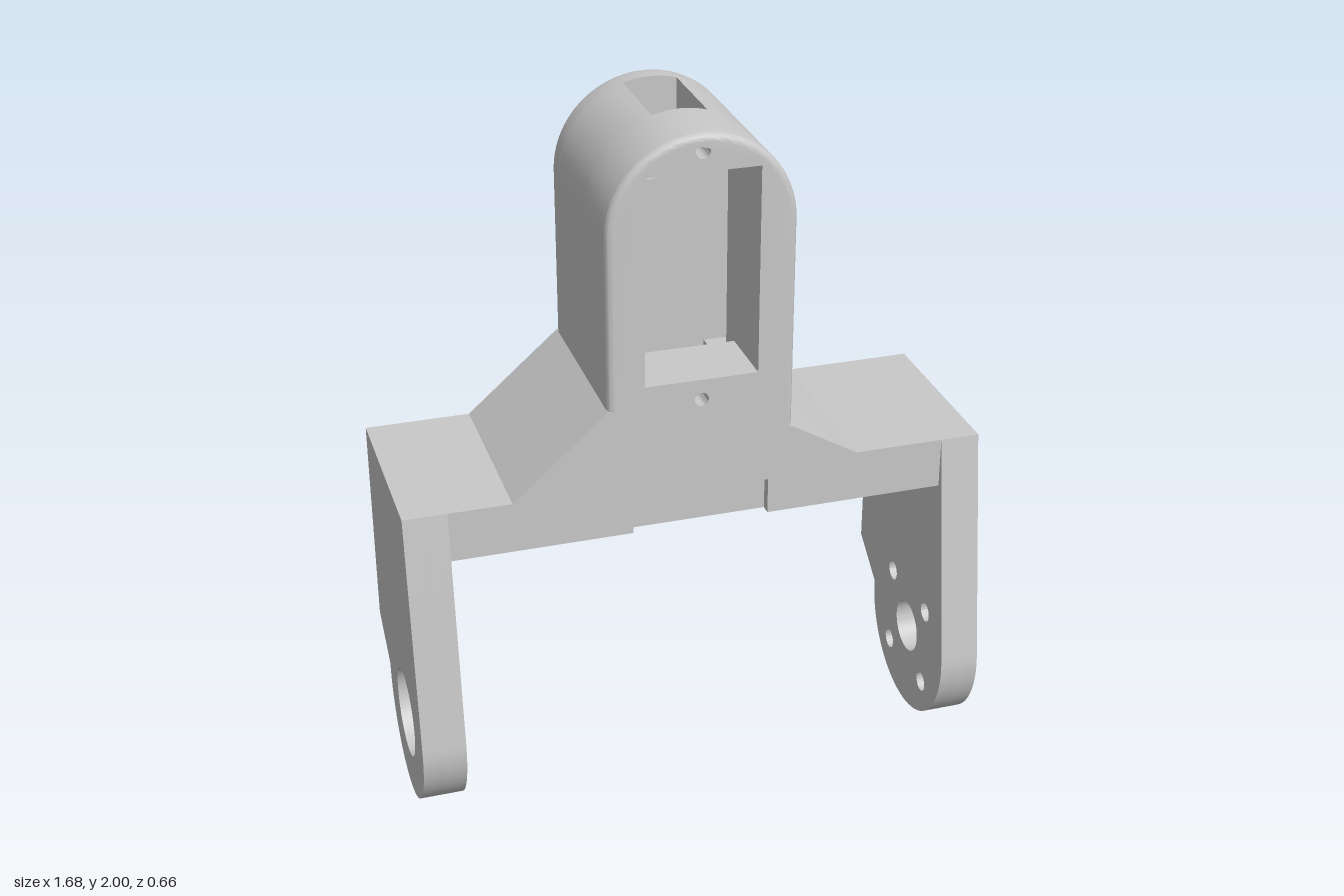
import * as THREE from 'three';
import { toCreasedNormals } from 'three/addons/utils/BufferGeometryUtils.js';

const R = 0.266, CY = 1.734, CX = 0.003;  // arch radius and centre
const FRONT = 0.228, BACK = -0.33;        // body depth limits
const SHAFT_F = 0.02, SHAFT_B = -0.258;   // cable shaft depth limits
const SHAFT_X = 0.161, SLOT_X = 0.077;

export function createModel() {
  const model = new THREE.Group();
  const grey = new THREE.MeshStandardMaterial({ color: 0xc8c8c8 });
  grey.name = 'light grey';

  const group = (name) => {
    const g = new THREE.Group();
    g.name = name;
    model.add(g);
    return g;
  };
  const add = (parent, name, geo) => {
    const mesh = new THREE.Mesh(toCreasedNormals(geo, 0.4), grey);
    mesh.name = name;
    parent.add(mesh);
  };
  const poly = (pts) => new THREE.Shape(pts.map(([x, y]) => new THREE.Vector2(x, y)));
  const circle = (x, y, r) => new THREE.Path().absarc(x, y, r, 0, Math.PI * 2, false);
  const slab = (shape, z0, z1) =>
    new THREE.ExtrudeGeometry(shape, { depth: z1 - z0, bevelEnabled: false, curveSegments: 28 }).translate(0, 0, z0);

  // Arched tower slab whose far rim is rounded
  function archSlab(depth, holes) {
    const shape = new THREE.Shape();
    shape.moveTo(-R, 1.0);
    shape.lineTo(R, 1.0);
    shape.absarc(0, CY, R, 0, Math.PI, false);
    shape.holes = holes;
    const steps = 6, fillet = 0.02;
    const geo = new THREE.ExtrudeGeometry(shape, { depth, steps, bevelEnabled: false, curveSegments: 28 });
    const p = geo.attributes.position;
    for (let i = 0; i < p.count; i++) {
      const k = Math.round((p.getZ(i) / depth) * steps);
      if (k === 0) continue;
      const a = ((k - 1) / (steps - 1)) * Math.PI / 2;
      p.setZ(i, depth - fillet + fillet * Math.sin(a));
      const x = p.getX(i), y = p.getY(i), sy = Math.min(y, CY);
      if (Math.hypot(x, y - sy) > 0.25) {
        const s = 1 - (fillet * (1 - Math.cos(a))) / R;
        p.setXY(i, x * s, sy + (y - sy) * s);
      }
    }
    return geo;
  }

  // Tower: front with pocket and screw holes, back with one through hole
  const tower = group('tower');
  tower.position.x = CX;
  const pocket = poly([[-SHAFT_X, 1.298], [SHAFT_X, 1.298], [SHAFT_X, 1.897], [-SHAFT_X, 1.897]]);
  add(tower, 'towerFront', archSlab(FRONT - SHAFT_F, [pocket, circle(0, 1.953, 0.02), circle(0, 1.238, 0.02)])
    .translate(0, 0, SHAFT_F));
  add(tower, 'towerBack', archSlab(SHAFT_B - BACK, [circle(0, CY, 0.037)])
    .rotateY(Math.PI).translate(0, 0, SHAFT_B));

  // Side walls around the shaft, leaving the slot in the crown open
  function wallShape(side, bottom, startAngle) {
    const pts = [[SHAFT_X, bottom], [R * Math.cos(startAngle), bottom]];
    const end = Math.acos(SLOT_X / R);
    for (let i = 0; i <= 14; i++) {
      const a = startAngle + ((end - startAngle) * i) / 14;
      pts.push([R * Math.cos(a), CY + R * Math.sin(a)]);
    }
    pts.push([SLOT_X, 1.897], [SHAFT_X, 1.897]);
    return poly(pts.map(([x, y]) => [x * side, y]));
  }
  const winTop = 1.79, winBottom = 1.175, winFront = -0.05;
  add(tower, 'leftWall', slab(wallShape(1, 1.0, 0), winFront, SHAFT_F));
  add(tower, 'windowLintel', slab(wallShape(1, winTop, Math.asin((winTop - CY) / R)), SHAFT_B, winFront));
  add(tower, 'windowSill', slab(poly([[SHAFT_X, 1], [R, 1], [R, winBottom], [SHAFT_X, winBottom]]), SHAFT_B, winFront));
  add(tower, 'rightWall', slab(wallShape(-1, 1.0, 0), SHAFT_B, SHAFT_F));
  add(tower, 'windowPeg', new THREE.CylinderGeometry(0.027, 0.027, 0.04, 20).translate(0.215, winBottom + 0.02, -0.143));

  // Crossbar with uneven shoulders, split around the shaft
  const crossbar = group('crossbar');
  const IN_R = -0.715, IN_L = 0.725, LOW = 0.85;
  const outline = [[IN_L, LOW], [IN_L, 1], [0.465, 1], [CX + R, 1.115], [CX - R, 1.237], [-0.535, 1], [IN_R, 1], [IN_R, LOW]];
  const recess = [[-0.195, LOW], [-0.195, 0.957], [0.2, 0.957], [0.2, LOW]];
  const sl = CX + SHAFT_X, sr = CX - SHAFT_X;
  add(crossbar, 'crossbarFront', slab(poly([...outline, ...recess]), FRONT - 0.03, FRONT));
  add(crossbar, 'crossbarMiddle', slab(poly(outline), SHAFT_F, FRONT - 0.03));
  add(crossbar, 'crossbarBack', slab(poly(outline), BACK, SHAFT_B));
  add(crossbar, 'crossbarLeft', slab(poly([[sl, LOW], ...outline.slice(0, 4), [sl, 1.115]]), SHAFT_B, SHAFT_F));
  add(crossbar, 'crossbarRight', slab(poly([[sr, 1.237], ...outline.slice(4), [sr, LOW]]), SHAFT_B, SHAFT_F));

  // Legs: profile drawn as (z, y), built in two layers for the counterbores
  const LZ = 0.065, LY = 0.267;
  function legLayer(x0, x1, r, holes) {
    const dz = FRONT - LZ, dy = 1 - LY;
    const tangent = Math.atan2(dy, dz) - Math.acos(r / Math.hypot(dz, dy));
    const shape = new THREE.Shape();
    shape.moveTo(BACK, 1);
    shape.lineTo(FRONT, 1);
    shape.absarc(LZ, LY, r, tangent, -Math.PI, true);
    shape.lineTo(LZ - r - 0.003, LY + 0.008);
    shape.lineTo(BACK, 0.372);
    shape.holes = holes;
    return slab(shape, -x1, -x0).rotateY(-Math.PI / 2);
  }
  const screwHoles = (r) => [[1, 1], [1, -1], [-1, 1], [-1, -1]]
    .map(([a, b]) => circle(LZ + a * 0.126, LY + b * 0.126, r));

  const leftLeg = group('leftLeg');
  add(leftLeg, 'leftLegOuter', legLayer(0.78, 0.84, 0.267, [circle(LZ, LY, 0.08), ...screwHoles(0.06)]));
  add(leftLeg, 'leftLegInner', legLayer(IN_L, 0.78, 0.267, [circle(LZ, LY, 0.08), ...screwHoles(0.03)]));

  const rightLeg = group('rightLeg');
  add(rightLeg, 'rightLegOuter', legLayer(-0.84, -0.775, 0.252, [circle(LZ, LY, 0.13)]));
  add(rightLeg, 'rightLegInner', legLayer(-0.775, IN_R, 0.252, [circle(LZ, LY, 0.085)]));

  return model;
}
